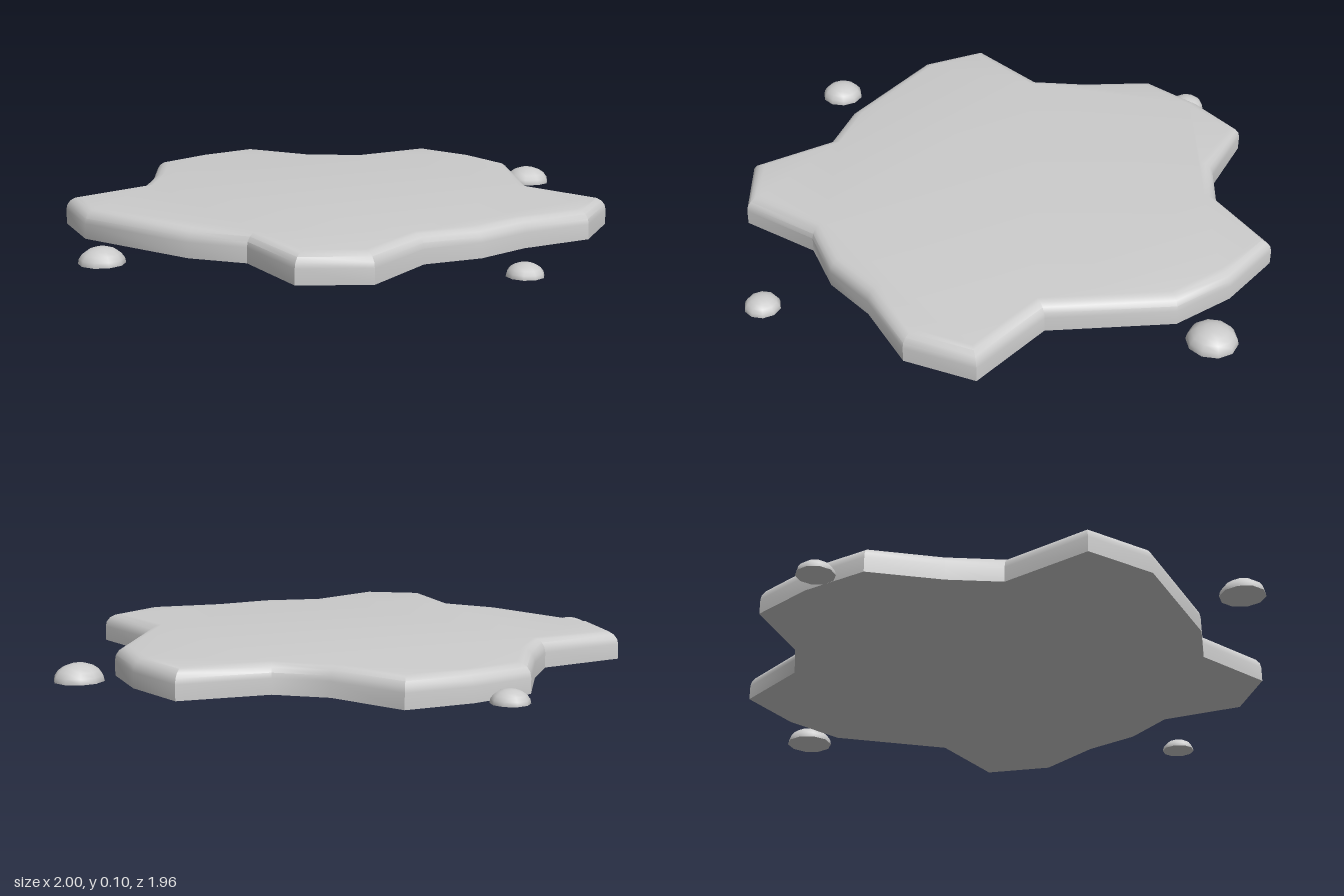
import * as THREE from 'three';
import { toCreasedNormals } from 'three/addons/utils/BufferGeometryUtils.js';

const material = new THREE.MeshStandardMaterial({ color: 0xcccccc });
const HEIGHT = 0.105;
const BEVEL = 0.05;

// Puddle outline as [x, z]
const OUTLINE = [
  [-0.24, -0.98], [0.01, -0.81], [0.21, -0.775], [0.51, -0.9], [0.69, -0.705], [0.8, -0.49],
  [0.775, -0.035], [0.998, 0.225], [0.865, 0.455], [0.605, 0.555], [0.425, 0.675], [0.215, 0.73],
  [0.01, 0.965], [-0.245, 0.94], [-0.375, 0.64], [-0.57, 0.545], [-0.925, 0.215], [-1, -0.04],
  [-0.72, -0.235], [-0.675, -0.43], [-0.65, -0.7], [-0.46, -0.86],
];

// Slab with a rounded top rim; the lower bevel is flattened onto the ground
function createPuddle() {
  const shape = new THREE.Shape(OUTLINE.map(([x, z]) => new THREE.Vector2(x, -z)));
  const geometry = new THREE.ExtrudeGeometry(shape, {
    depth: HEIGHT - BEVEL,
    bevelThickness: BEVEL,
    bevelSize: BEVEL,
    bevelOffset: -BEVEL,
    bevelSegments: 4,
  });
  geometry.rotateX(-Math.PI / 2);
  const position = geometry.attributes.position;
  for (let i = 0; i < position.count; i++) position.setY(i, Math.max(0, position.getY(i)));
  const puddle = new THREE.Mesh(toCreasedNormals(geometry, 0.6), material);
  puddle.name = 'puddle';
  return puddle;
}

// Flattened half sphere closed by a disc underneath
function createDroplet(x, z, radius) {
  const droplet = new THREE.Group();
  const dome = new THREE.Mesh(
    new THREE.SphereGeometry(radius, 10, 5, 0, Math.PI * 2, 0, Math.PI / 2), material);
  dome.name = 'dropletDome';
  dome.scale.y = 0.7;
  const base = new THREE.Mesh(new THREE.CircleGeometry(radius, 10).rotateX(Math.PI / 2), material);
  base.name = 'dropletBase';
  droplet.add(dome, base);
  droplet.position.set(x, 0, z);
  droplet.name = 'droplet';
  return droplet;
}

export function createModel() {
  const model = new THREE.Group();
  model.name = 'splat';
  model.add(createPuddle());
  const droplets = [[-0.577, -0.847, 0.068], [0.905, -0.588, 0.09], [-0.86, 0.57, 0.081], [0.515, 0.916, 0.065]];
  for (const [x, z, radius] of droplets) model.add(createDroplet(x, z, radius));
  return model;
}
